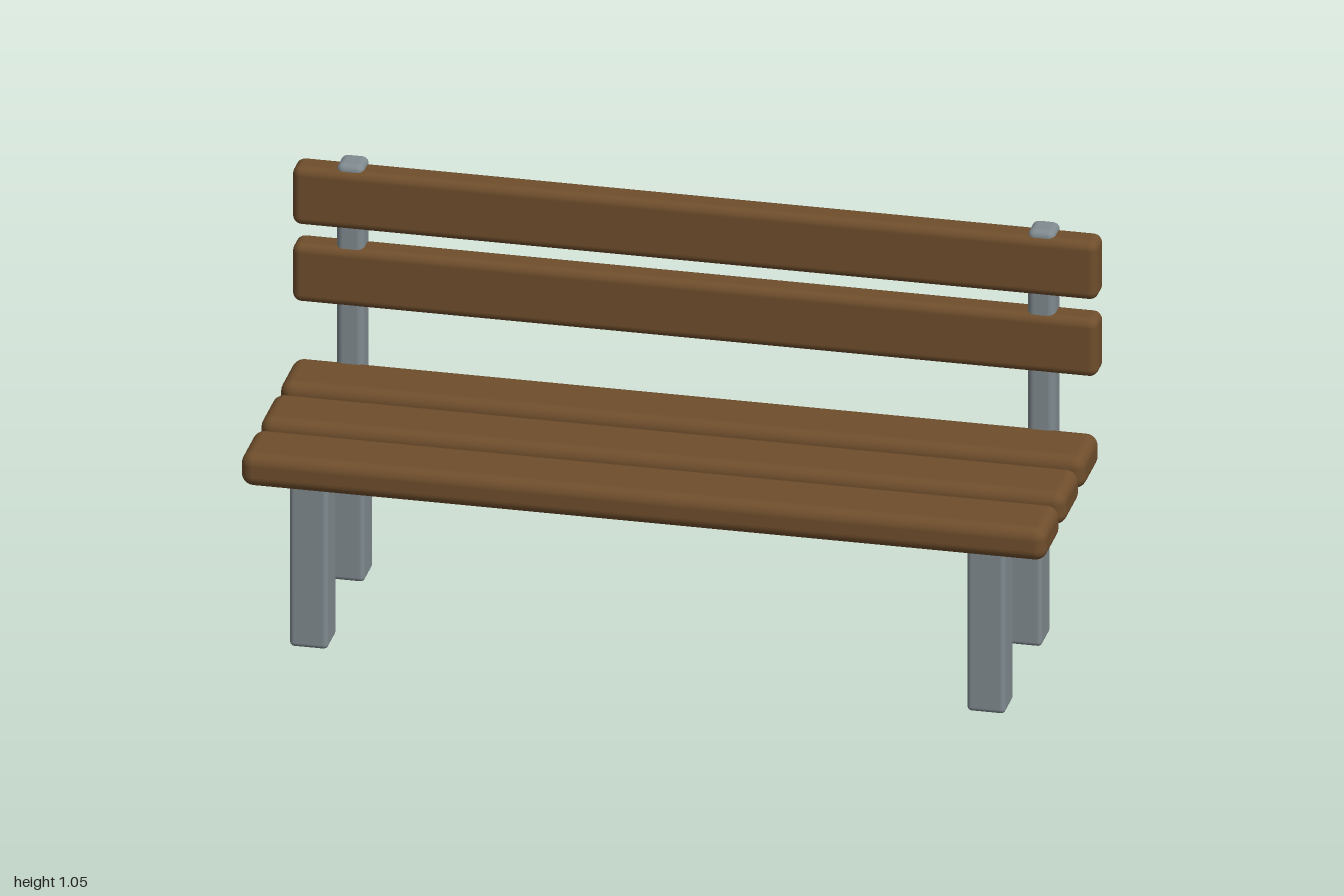
import * as THREE from 'three';
import { RoundedBoxGeometry } from 'three/addons/geometries/RoundedBoxGeometry.js';

export function createModel() {
  const bench = new THREE.Group();
  bench.name = 'bench';

  const wood = new THREE.MeshStandardMaterial({ color: 0x6f4e2c });
  wood.name = 'brown wood';
  const metal = new THREE.MeshStandardMaterial({ color: 0x808b90 });
  metal.name = 'grey metal';

  // Rounded bar given by its size and centre
  function bar(name, material, size, radius, centre) {
    const mesh = new THREE.Mesh(new RoundedBoxGeometry(...size, 4, radius), material);
    mesh.name = name;
    mesh.position.set(...centre);
    bench.add(mesh);
  }

  // Three seat planks, front to back
  for (const z of [0.238, 0.025, -0.189]) {
    bar('seatPlank', wood, [2, 0.087, 0.174], 0.03, [0, 0.479, z]);
  }

  // Two backrest boards
  for (const y of [0.753, 0.958]) {
    bar('backBoard', wood, [2, 0.155, 0.078], 0.022, [0, y, -0.278]);
  }

  // Legs and backrest posts on both sides
  for (const side of [-1, 1]) {
    for (const z of [0.225, -0.175]) {
      bar('leg', metal, [0.095, 0.46, 0.098], 0.012, [side * 0.841, 0.23, z]);
    }
    bar('backPost', metal, [0.068, 0.71, 0.075], 0.017, [side * 0.858, 0.695, -0.2875]);
  }

  return bench;
}
